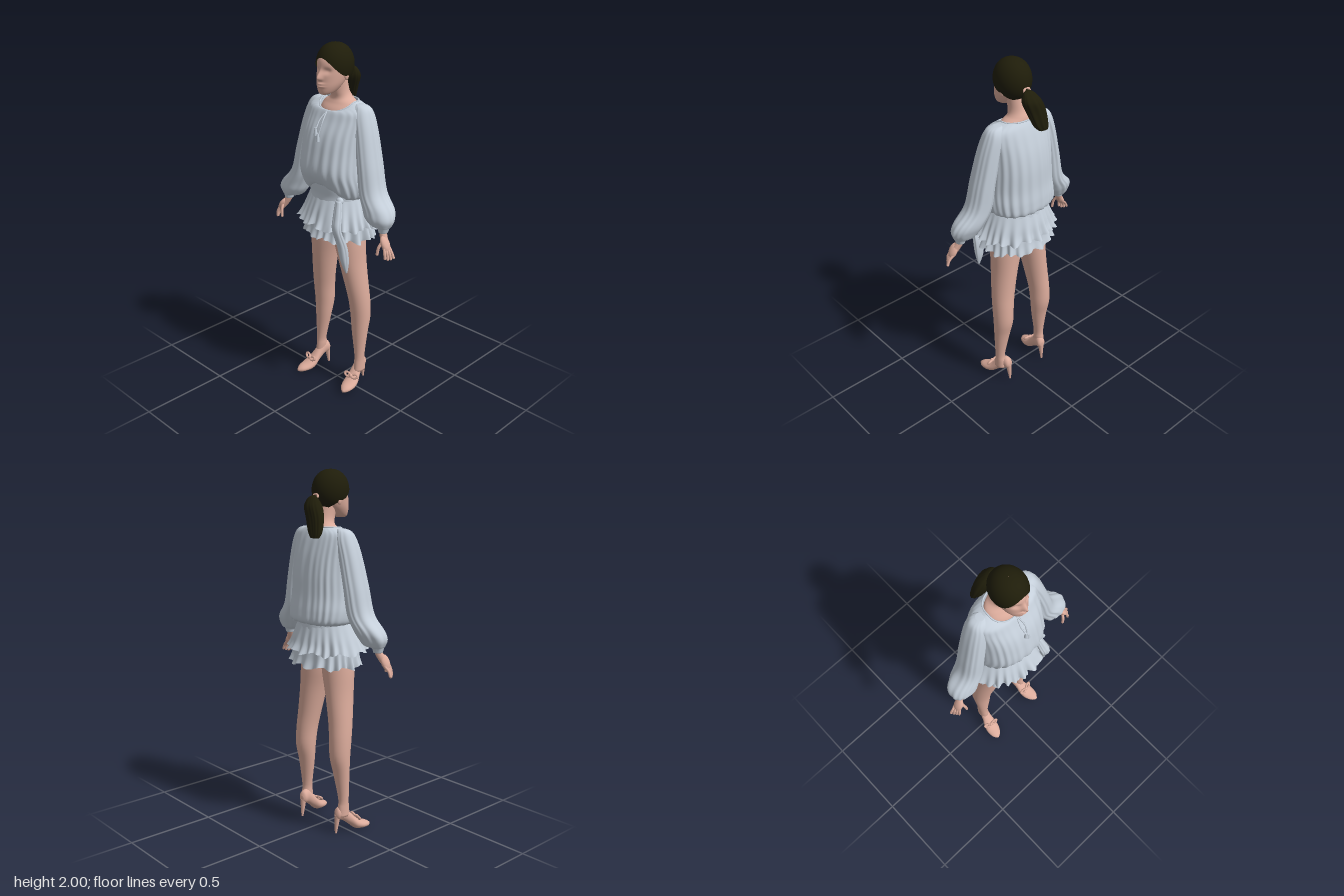
import * as THREE from 'three';

const skin = new THREE.MeshStandardMaterial({ color: 0xdcac9c });
skin.name = 'skin';
const cloth = new THREE.MeshStandardMaterial({ color: 0xc5cfda, side: THREE.DoubleSide });
cloth.name = 'pale blue cloth';
const hair = new THREE.MeshStandardMaterial({ color: 0x1f1d0a, side: THREE.DoubleSide });
hair.name = 'dark hair';

const gauss = (x, w) => Math.exp(-(x * x) / (w * w));
const pow = (v, e) => Math.sign(v) * Math.abs(v) ** e;

// Closed-around grid of points f(angle, t), with optional end caps
function grid(f, nu, nv, caps) {
  const pos = [], idx = [];
  for (let j = 0; j <= nv; j++)
    for (let i = 0; i < nu; i++) pos.push(...f((i / nu) * Math.PI * 2, j / nv).toArray());
  for (let j = 0; j < nv; j++)
    for (let i = 0; i < nu; i++) {
      const a = j * nu + i, b = j * nu + (i + 1) % nu;
      idx.push(a, a + nu, b, b, a + nu, b + nu);
    }
  if (caps) for (const row of [0, nv]) {
    const c = new THREE.Vector3(), n = pos.length / 3;
    for (let i = 0; i < nu; i++) c.add(new THREE.Vector3().fromArray(pos, (row * nu + i) * 3));
    pos.push(...c.divideScalar(nu).toArray());
    for (let i = 0; i < nu; i++) {
      const a = row * nu + i, b = row * nu + (i + 1) % nu;
      if (row) idx.push(n, b, a); else idx.push(n, a, b);
    }
  }
  const g = new THREE.BufferGeometry();
  g.setAttribute('position', new THREE.Float32BufferAttribute(pos, 3));
  g.setIndex(idx);
  g.computeVertexNormals();
  return g;
}

// Smooth loft through sections [y, xMin, xMax, zFront, zBack], listed from the bottom up
function loft(sections, { nu = 32, nv = 32, e = 1, caps = true, warp } = {}) {
  const n = sections.length - 1;
  const at = (t, k) => {
    const i = Math.min(Math.floor(t * n), n - 1), f = t * n - i;
    const [a, b, c, d] = [-1, 0, 1, 2].map(o => sections[Math.min(Math.max(i + o, 0), n)][k]);
    return b + 0.5 * f * (c - a + f * (2 * a - 5 * b + 4 * c - d + f * (3 * (b - c) + d - a)));
  };
  return grid((a, t) => {
    const [y, x0, x1, zf, zb] = [0, 1, 2, 3, 4].map(k => at(t, k));
    const c = new THREE.Vector3((x0 + x1) / 2, y, (zf + zb) / 2);
    const p = c.clone();
    p.x += pow(Math.cos(a), e) * (x1 - x0) / 2;
    p.z += pow(Math.sin(a), e) * (zf - zb) / 2;
    if (warp) warp(p, a, t, c);
    return p;
  }, nu, nv, caps);
}

const sym = rows => rows.map(([y, w, f, b]) => [y, -w, w, f, b]);
const side = (s, rows) => s > 0 ? rows : rows.map(([y, a, b, f, k]) => [y, -b, -a, f, k]);

// Push points in and out to make irregular gathered folds
const folds = (k, amp, ph = 0) => (p, a, t, c) => {
  const m = 1 + amp(t) * (Math.sin(k * a + 2 * Math.sin(3 * a + ph)) + 0.5 * Math.sin((k - 5) * a + ph));
  p.x = c.x + (p.x - c.x) * m;
  p.z = c.z + (p.z - c.z) * m;
};

function add(parent, name, geo, mat) {
  const m = new THREE.Mesh(geo, mat);
  m.name = name;
  parent.add(m);
  return m;
}
const v = (x, y, z) => new THREE.Vector3(x, y, z);
const tube = (pts, r, closed = false) =>
  new THREE.TubeGeometry(new THREE.CatmullRomCurve3(pts, closed), closed ? 64 : 12, r, 8, closed);
function ball(parent, name, mat, pos, size) {
  const m = add(parent, name, new THREE.SphereGeometry(1, 20, 14), mat);
  m.position.copy(pos);
  m.scale.set(...size);
  return m;
}

function makeHead(root) {
  const head = new THREE.Group();
  head.name = 'head';
  root.add(head);
  // Face with brow, eye sockets, nose and lips
  add(head, 'face', loft(sym([
    [1.745, 0.018, 0.112, 0.07], [1.755, 0.04, 0.122, 0.03], [1.785, 0.06, 0.125, -0.01],
    [1.82, 0.072, 0.122, -0.04], [1.87, 0.079, 0.118, -0.065], [1.92, 0.077, 0.11, -0.07],
    [1.965, 0.05, 0.072, -0.045], [1.98, 0.012, 0.03, 0]]), {
    nu: 112, nv: 70, warp: (p, a) => {
      if (Math.sin(a) < 0.3) return;
      const { x, y } = p;
      p.z += 0.026 * gauss(x, 0.013) * gauss(y - 1.832, y > 1.832 ? 0.032 : 0.011);
      p.z -= 0.012 * gauss(Math.abs(x) - 0.033, 0.018) * gauss(y - 1.868, 0.014);
      p.z += 0.010 * gauss(x, 0.022) * (gauss(y - 1.803, 0.006) + gauss(y - 1.79, 0.006));
    } }), skin);
  for (const s of [-1, 1]) ball(head, 'ear', skin, v(s * 0.077, 1.838, 0.01), [0.008, 0.022, 0.014]);
  // Neck widening into the upper chest
  add(head, 'neck', loft(sym([[1.58, 0.13, 0.075, -0.09], [1.65, 0.115, 0.064, -0.09],
    [1.69, 0.1, 0.035, -0.092], [1.715, 0.062, 0.024, -0.088], [1.75, 0.047, 0.032, -0.072],
    [1.82, 0.047, 0.05, -0.055]])), skin);
  // Swept-back hair cap whose lower edge follows the hairline
  add(head, 'hairCap', grid((a, t) => {
    const s = Math.sin(a);
    const end = s > 0 ? 2.05 - 0.87 * s ** 1.9 : 2.05 + 0.6 * -s;
    const th = (1 - t) * end + 0.001;
    const r = Math.sin(th) ** 0.9;
    return v(0.094 * r * Math.cos(a), 1.89 + 0.11 * Math.cos(th), 0.015 + 0.105 * r * s);
  }, 64, 32, false), hair);
  // Ponytail with strand grooves, and its tie
  add(head, 'ponytail', loft([[1.65, -0.09, -0.035, -0.135, -0.165], [1.68, -0.097, -0.008, -0.112, -0.165],
    [1.75, -0.09, 0.022, -0.088, -0.16], [1.81, -0.065, 0.045, -0.075, -0.155],
    [1.85, -0.032, 0.035, -0.085, -0.13], [1.865, -0.01, 0.015, -0.09, -0.11]],
  { nu: 64, warp: folds(13, t => 0.06 * (1 - t)) }), hair);
  const tie = add(head, 'hairTie', new THREE.TorusGeometry(0.017, 0.007, 10, 24), skin);
  tie.position.set(0, 1.857, -0.092);
  tie.rotation.x = 0.5;
}

function makeDress(root) {
  const dress = new THREE.Group();
  dress.name = 'dress';
  root.add(dress);
  // Loose blouse: front neckline dips, front hem is gathered upward
  const bodyFolds = folds(26, t => 0.02 * (1 - t) ** 0.7);
  add(dress, 'blouse', loft(sym([
    [1.185, 0.16, 0.1, -0.15], [1.205, 0.19, 0.125, -0.185], [1.26, 0.2, 0.155, -0.187],
    [1.34, 0.195, 0.18, -0.178], [1.45, 0.19, 0.163, -0.172], [1.54, 0.19, 0.138, -0.158],
    [1.62, 0.192, 0.1, -0.135], [1.672, 0.178, 0.08, -0.115], [1.702, 0.108, 0.07, -0.098]]), {
    nu: 160, nv: 48, e: 0.85, caps: false, warp: (p, a, t, c) => {
      bodyFolds(p, a, t, c);
      const s = Math.max(0, Math.sin(a));
      p.y += 0.11 * s ** 7 * (1 - t) ** 5 - 0.048 * s * t ** 6;
    } }), cloth);
  // Neckline binding and drawstring tassels
  const ring = [];
  for (let i = 0; i < 24; i++) {
    const a = i / 24 * Math.PI * 2, s = Math.sin(a);
    ring.push(v(0.108 * pow(Math.cos(a), 0.85), 1.702 - 0.048 * Math.max(0, s), -0.014 + 0.084 * pow(s, 0.85)));
  }
  add(dress, 'neckBinding', tube(ring, 0.004, true), cloth);
  for (const s of [-1, 1]) {
    const end = v(s * 0.008, 1.56 - s * 0.015, 0.145);
    add(dress, 'drawstring', tube([v(0, 1.655, 0.074), v(s * 0.012, 1.61, 0.118), end], 0.004), cloth);
    const tassel = add(dress, 'tassel', new THREE.CylinderGeometry(0.005, 0.011, 0.04, 10), cloth);
    tassel.position.copy(end).add(v(0, -0.018, 0.006));
  }
  // Balloon sleeves gathered into cuffs
  for (const s of [-1, 1]) add(dress, s > 0 ? 'leftSleeve' : 'rightSleeve', loft(side(s, [
    [1.065, 0.338, 0.386, 0.052, 0], [1.092, 0.325, 0.395, 0.06, -0.01], [1.1, 0.275, 0.402, 0.072, -0.03],
    [1.135, 0.24, 0.414, 0.085, -0.05], [1.18, 0.218, 0.396, 0.082, -0.068], [1.26, 0.19, 0.325, 0.073, -0.08],
    [1.4, 0.17, 0.288, 0.065, -0.085], [1.55, 0.14, 0.25, 0.05, -0.087], [1.64, 0.115, 0.22, 0.035, -0.085],
    [1.682, 0.115, 0.196, 0.014, -0.07], [1.696, 0.12, 0.16, -0.008, -0.052]]),
  { nu: 72, nv: 50, warp: folds(11, t => 0.03 * Math.sin(Math.PI * t) ** 0.6, s) }), cloth);
  // Wrapped waist sash
  add(dress, 'sash', loft(sym([[1.16, 0.178, 0.128, -0.16], [1.2, 0.172, 0.124, -0.155],
    [1.25, 0.168, 0.13, -0.15], [1.34, 0.165, 0.138, -0.14]]), { nu: 64, caps: false }), cloth);
  // Two ruffled skirt tiers, with one deeper pleat at the front
  const tier = (name, rows, k, amp, ph, pleat) => {
    const f = folds(k, t => amp * (1 - t) ** 1.3, ph);
    add(dress, name, loft(sym(rows), { nu: 200, nv: 20, caps: false, warp: (p, a, t, c) => {
      f(p, a, t, c);
      p.y += 0.01 * (1 - t) * Math.sin(9 * a + ph);
      if (p.z > 0) p.z += pleat * (1 - t) * gauss(p.x - 0.065, 0.025);
    } }), cloth);
  };
  tier('upperTier', [[1.035, 0.238, 0.182, -0.2], [1.07, 0.222, 0.167, -0.185],
    [1.12, 0.202, 0.148, -0.172], [1.2, 0.17, 0.115, -0.15]], 24, 0.06, 0, 0.022);
  tier('lowerTier', [[0.957, 0.215, 0.155, -0.19], [1.0, 0.205, 0.143, -0.177],
    [1.06, 0.195, 0.138, -0.168], [1.12, 0.18, 0.125, -0.155]], 21, 0.06, 2, 0.01);
  add(dress, 'briefs', loft(sym([[0.96, 0.02, 0.02, -0.05], [0.98, 0.08, 0.06, -0.09],
    [1.04, 0.165, 0.085, -0.12], [1.15, 0.15, 0.08, -0.12]])), cloth);
  // Hanging sash end with its knot
  add(dress, 'sashTail', loft([[0.79, 0.17, 0.18, 0.112, 0.102], [0.86, 0.145, 0.19, 0.135, 0.09],
    [0.95, 0.132, 0.19, 0.152, 0.1], [1.05, 0.122, 0.178, 0.176, 0.138], [1.12, 0.112, 0.165, 0.158, 0.12],
    [1.2, 0.105, 0.145, 0.13, 0.1]], { nu: 40, warp: folds(7, () => 0.08) }), cloth);
  ball(dress, 'sashKnot', cloth, v(0.125, 1.195, 0.108), [0.022, 0.02, 0.018]);
}

function makeHand(root, s) {
  const hand = new THREE.Group();
  hand.name = s > 0 ? 'leftHand' : 'rightHand';
  root.add(hand);
  add(hand, 'wrist', tube([v(s * 0.345, 1.12, 0.02), v(s * 0.365, 1.06, 0.03), v(s * 0.388, 1.02, 0.042)], 0.02), skin);
  const palm = ball(hand, 'palm', skin, v(s * 0.396, 1.015, 0.047), [0.018, 0.045, 0.028]);
  palm.rotation.z = s * 0.5;
  const finger = (name, r, ...pts) => {
    const path = pts.map(([x, y, z]) => v(s * x, y, z));
    add(hand, name, tube(path, r), skin);
    ball(hand, name + 'Tip', skin, path[path.length - 1], [r, r, r]);
  };
  for (let i = 0; i < 4; i++) {
    const z = 0.03 + i * 0.012, d = Math.abs(i - 1.7) * 0.006;
    finger('finger', 0.0075, [0.405, 1.0, z], [0.433 - i * 0.006, 0.972, z + 0.006], [0.445 - i * 0.009, 0.938 + d, z + 0.006]);
  }
  finger('thumb', 0.008, [0.385, 1.03, 0.055], [0.375, 0.995, 0.075], [0.37, 0.958, 0.08]);
}

function makeLeg(root, s) {
  const leg = new THREE.Group();
  leg.name = s > 0 ? 'leftLeg' : 'rightLeg';
  if (s > 0) leg.position.x = -0.02;
  root.add(leg);
  add(leg, 'leg', loft(side(s, [
    [0.1, 0.142, 0.195, 0.005, -0.075], [0.15, 0.139, 0.194, 0, -0.07], [0.2, 0.138, 0.195, -0.004, -0.065],
    [0.35, 0.11, 0.206, 0, -0.088], [0.45, 0.098, 0.212, 0.005, -0.11], [0.55, 0.091, 0.211, 0.018, -0.11],
    [0.65, 0.075, 0.204, 0.035, -0.105], [0.8, 0.045, 0.19, 0.06, -0.105], [0.93, 0.012, 0.186, 0.075, -0.108],
    [1.06, 0.005, 0.175, 0.08, -0.11]])), skin);
  // Pointed high-heeled shoe, lofted from heel to toe
  const foot = new THREE.Group();
  foot.name = 'shoe';
  foot.position.set(s > 0 ? 0.158 : -0.17, s > 0 ? 0.014 : 0, s > 0 ? -0.015 : 0);
  foot.rotation.y = s * 0.2;
  leg.add(foot);
  const rows = [[-0.085, 0.012, 0.095, 0.125], [-0.072, 0.025, 0.08, 0.15], [-0.04, 0.027, 0.07, 0.155],
    [0, 0.03, 0.038, 0.118], [0.04, 0.04, 0.006, 0.075], [0.08, 0.041, 0, 0.05],
    [0.12, 0.028, 0, 0.034], [0.142, 0.006, 0.005, 0.018]];
  add(foot, 'shoeBody', loft(sym(rows.map(([z, w, lo, hi]) => [z, w, -lo, -hi]))).rotateX(Math.PI / 2), skin);
  const heel = add(foot, 'stilettoHeel', new THREE.CylinderGeometry(0.018, 0.006, 0.105, 14), skin);
  heel.position.set(0, 0.0525, -0.076);
  heel.rotation.x = 0.1;
  // Bow on the instep
  for (const d of [-1, 1]) {
    const loop = add(foot, 'bowLoop', new THREE.TorusGeometry(0.014, 0.007, 8, 20), skin);
    loop.position.set(d * 0.024, 0.074, 0.052);
    loop.rotation.set(-0.6, 0, d * 0.3);
    loop.scale.set(1.3, 0.8, 1);
  }
  ball(foot, 'bowKnot', skin, v(0, 0.073, 0.055), [0.011, 0.011, 0.011]);
}

export function createModel() {
  const root = new THREE.Group();
  root.name = 'standingWoman';
  makeHead(root);
  makeDress(root);
  for (const s of [-1, 1]) {
    makeHand(root, s);
    makeLeg(root, s);
  }
  return root;
}
